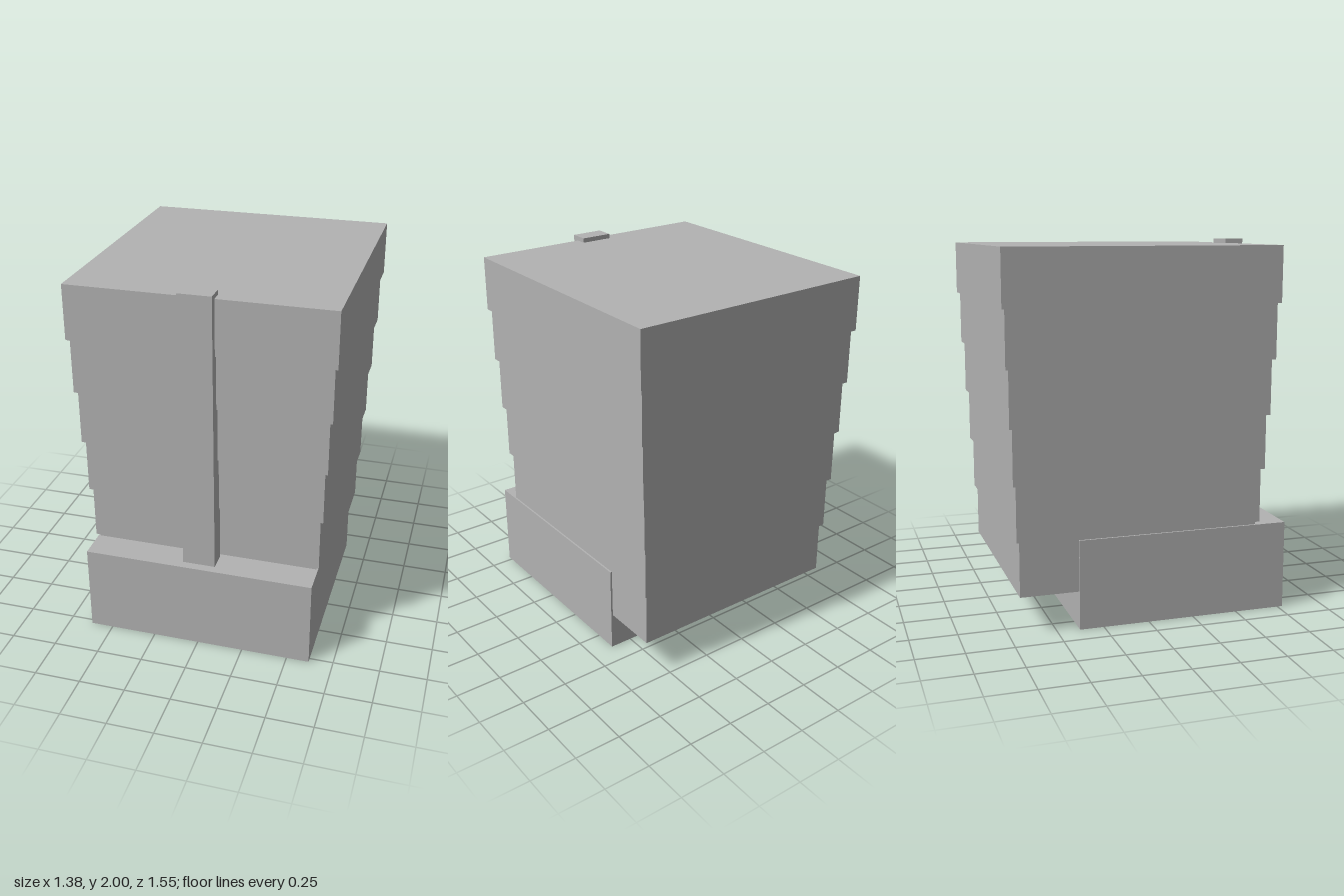
import * as THREE from 'three';

export function createModel() {
  const model = new THREE.Group();
  model.name = 'building';
  const concrete = new THREE.MeshStandardMaterial({ color: 0xb2b2b2 });
  concrete.name = 'concrete grey';

  // Box given by its extents along each axis
  function block(name, x0, x1, y0, y1, z0, z1) {
    const mesh = new THREE.Mesh(new THREE.BoxGeometry(x1 - x0, y1 - y0, z1 - z0), concrete);
    mesh.position.set((x0 + x1) / 2, (y0 + y1) / 2, (z0 + z1) / 2);
    mesh.name = name;
    model.add(mesh);
  }

  // Ground-level podium, set forward of the tower
  block('podium', -0.622, 0.622, 0, 0.482, -0.38, 0.778);

  // Six storeys, each overhanging the one below
  const storeys = 6, bottom = 0.205, height = 0.295, step = 0.016;
  for (let i = 0; i < storeys; i++) {
    const halfWidth = 0.612 + step * i;
    const halfDepth = 0.651 + 0.0165 * i;
    const y = bottom + height * i;
    block('storey' + (i + 1), -halfWidth, halfWidth, y, y + height, -0.043 - halfDepth, -0.043 + halfDepth);
  }

  // Vertical fin on the front, rising just above the roof
  block('frontFin', -0.088, 0.088, 0.482, 2, 0.628, 0.73);

  return model;
}
